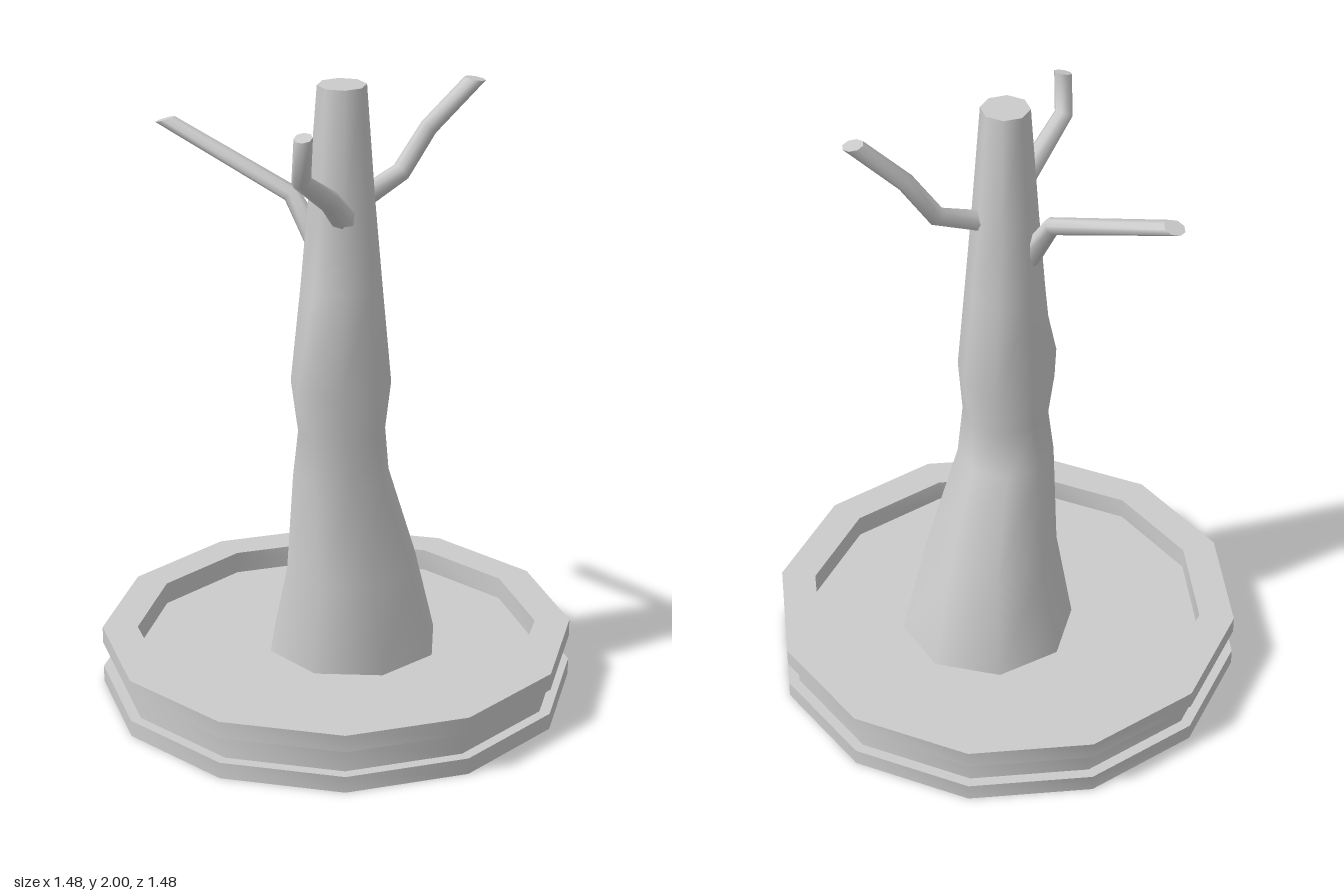
import * as THREE from 'three';
import { mergeGeometries, toCreasedNormals } from 'three/addons/utils/BufferGeometryUtils.js';

const SIDES = 8;
const rad = THREE.MathUtils.degToRad;
const V = (x, y, z) => new THREE.Vector3(x, y, z);

// Skin a list of rings (bottom to top), smooth round the sides, with a flat cap on the last ring
function loft(rings) {
  const n = rings[0].length;
  const side = new THREE.BufferGeometry().setFromPoints(rings.flat());
  const index = [];
  for (let r = 0; r < rings.length - 1; r++) {
    for (let i = 0; i < n; i++) {
      const a = r * n + i, b = r * n + (i + 1) % n;
      index.push(a, a + n, b, b, a + n, b + n);
    }
  }
  side.setIndex(index);
  side.computeVertexNormals();

  const cap = new THREE.BufferGeometry().setFromPoints(rings[rings.length - 1]);
  const capIndex = [];
  for (let i = 1; i < n - 1; i++) capIndex.push(0, i + 1, i);
  cap.setIndex(capIndex);
  cap.computeVertexNormals();
  return mergeGeometries([side, cap]);
}

// Octagonal ring around a centre, tilted so that it faces along the normal
function ring(center, radius, normal, turn = 0) {
  const q = new THREE.Quaternion().setFromUnitVectors(V(0, 1, 0), normal.clone().normalize());
  return Array.from({ length: SIDES }, (_, i) => {
    const a = turn + (i / SIDES) * Math.PI * 2;
    return V(Math.cos(a) * radius, 0, Math.sin(a) * radius).applyQuaternion(q).add(center);
  });
}

// Bent branch: mitred rings at the knees, a nearly level cut at the tip
function branchGeometry(path, radii, tipNormal) {
  const dirs = path.slice(1).map((p, i) => p.clone().sub(path[i]).normalize());
  return loft(path.map((p, i) => {
    let normal = tipNormal;
    if (i === 0) normal = dirs[0];
    else if (i < dirs.length) normal = dirs[i - 1].clone().add(dirs[i]);
    return ring(p, radii[i], normal, rad(12));
  }));
}

export function createModel() {
  const group = new THREE.Group();
  const material = new THREE.MeshStandardMaterial({ color: 0xcccccc });
  const add = (name, geometry) => {
    const mesh = new THREE.Mesh(geometry, material);
    mesh.name = name;
    group.add(mesh);
  };

  // Twelve-sided dish with a groove round its side and a raised rim
  const profile = [
    [0, 0], [0.753, 0], [0.753, 0.053], [0.718, 0.053], [0.718, 0.137],
    [0.753, 0.137], [0.753, 0.192], [0.64, 0.192], [0.64, 0.12],
  ].map(([r, y]) => new THREE.Vector2(r, y));
  add('dish', toCreasedNormals(new THREE.LatheGeometry(profile, 12, rad(10.7)), 0.7));

  // Flat soil inside the rim
  const soil = new THREE.CircleGeometry(0.64, 12, rad(10.7));
  soil.rotateX(-Math.PI / 2).translate(0, 0.12, 0);
  add('soil', soil);

  // Trunk: centre x, y, z, radius, turn in degrees
  const sections = [
    [0.015, 0.12, -0.065, 0.28, -13],
    [0.037, 0.42, -0.03, 0.213, -10],
    [0.053, 0.75, 0.045, 0.153, -6],
    [0.06, 0.9, 0.05, 0.136, 0],
    [0.057, 1.06, 0.05, 0.155, 8],
    [0.055, 1.38, 0.045, 0.124, 4],
    [0.055, 1.65, 0.045, 0.101, 0],
    [0.06, 2, 0.05, 0.075, 0],
  ];
  const rings = sections.map(([x, y, z, r, turn]) => ring(V(x, y, z), r, V(0, 1, 0), rad(turn)));
  rings[4][2].set(0.035, 1.06, 0.24); // knot on the front
  add('trunk', loft(rings));

  // Three branches
  add('rightBranch', branchGeometry(
    [V(0.01, 1.46, 0.07), V(-0.095, 1.645, 0.1), V(-0.53, 1.82, 0.182)],
    [0.04, 0.028, 0.033], V(-0.3, 0.95, 0.06)));
  add('frontBranch', branchGeometry(
    [V(0.1, 1.6, 0.09), V(0.125, 1.685, 0.19), V(0.178, 1.8, 0.385), V(0.192, 1.935, 0.392)],
    [0.042, 0.034, 0.029, 0.028], V(0.1, 1, 0.3)));
  add('backBranch', branchGeometry(
    [V(0.075, 1.63, -0.02), V(0.115, 1.69, -0.17), V(0.158, 1.82, -0.25), V(0.237, 1.96, -0.378)],
    [0.034, 0.03, 0.028, 0.033], V(0.1, 1, -0.15)));

  return group;
}
